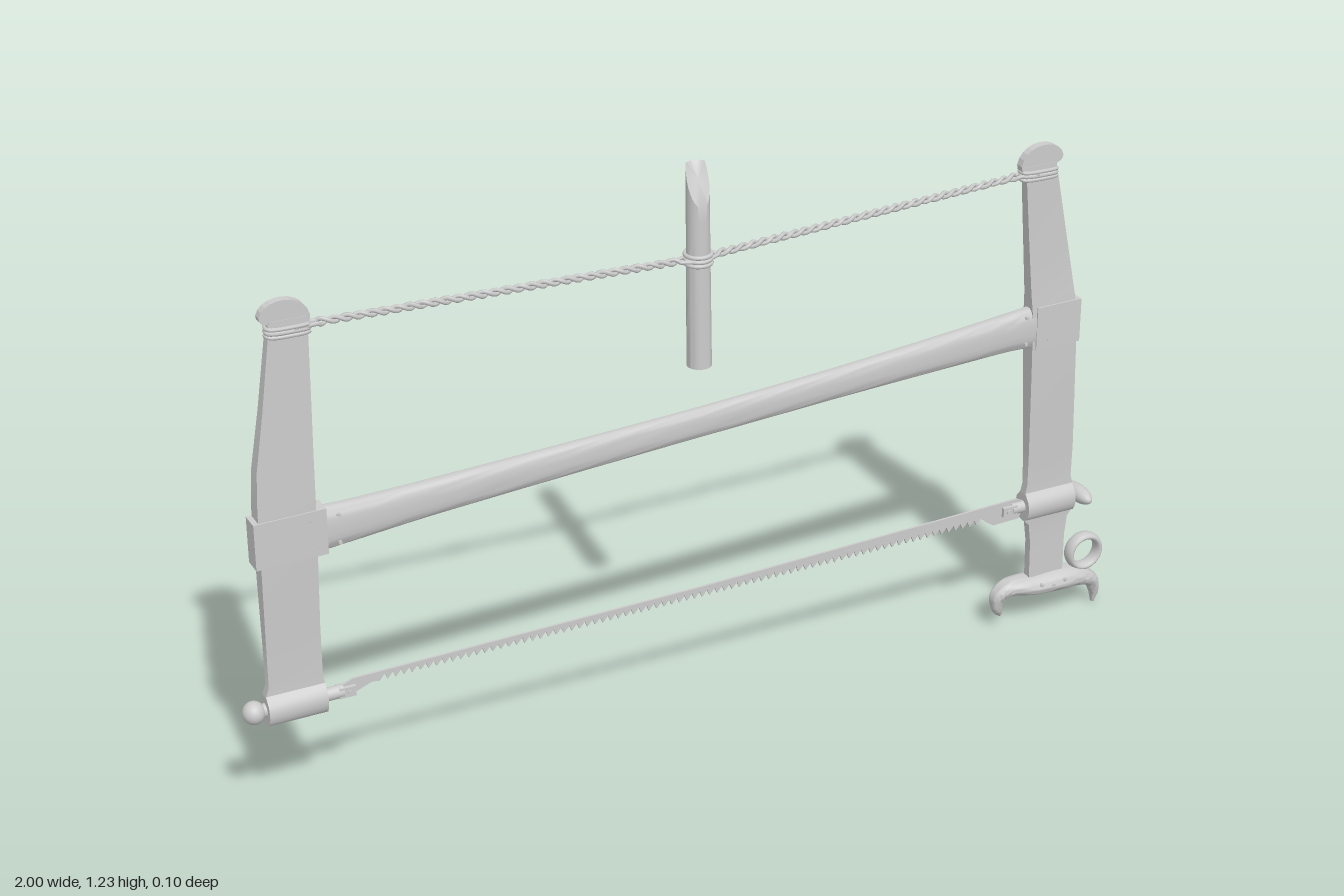
import * as THREE from 'three';
import { toCreasedNormals } from 'three/addons/utils/BufferGeometryUtils.js';

const material = new THREE.MeshStandardMaterial({ color: 0xcccccc, side: THREE.DoubleSide });

function part(name, geometry, x = 0, y = 0, z = 0) {
  const mesh = new THREE.Mesh(geometry, material);
  mesh.name = name;
  mesh.position.set(x, y, z);
  return mesh;
}

// Skins stations [x, y, halfHeight, halfDepth]; 'normal' fixes the section direction,
// otherwise it follows the path. 4 sides give a box, more give a superellipse of power p.
function loft(stations, sides, { normal = null, p = 2, crease = 0.6 } = {}) {
  const pos = [], index = [], n = stations.length;
  stations.forEach(([x, y, h, d], i) => {
    const a = stations[Math.max(i - 1, 0)], b = stations[Math.min(i + 1, n - 1)];
    const len = Math.hypot(b[0] - a[0], b[1] - a[1]);
    const [nx, ny] = normal || [-(b[1] - a[1]) / len, (b[0] - a[0]) / len];
    for (let k = 0; k < sides; k++) {
      const t = (k + 0.5) / sides * Math.PI * 2;
      const f = v => sides === 4 ? Math.sign(v) : Math.sign(v) * Math.abs(v) ** (2 / p);
      const u = f(Math.cos(t)) * h, w = f(Math.sin(t)) * d;
      pos.push(x + nx * u, y + ny * u, w);
    }
  });
  for (let i = 0; i < n - 1; i++) for (let k = 0; k < sides; k++) {
    const a = i * sides + k, b = i * sides + (k + 1) % sides;
    index.push(a, b, a + sides, b, b + sides, a + sides);
  }
  const last = (n - 1) * sides;
  for (let k = 1; k < sides - 1; k++) index.push(0, k + 1, k, last, last + k, last + k + 1);
  // Turn the faces outward when the signed volume is negative
  const v = i => new THREE.Vector3().fromArray(pos, i * 3);
  let volume = 0;
  for (let i = 0; i < index.length; i += 3) volume += v(index[i]).dot(v(index[i + 1]).cross(v(index[i + 2])));
  if (volume < 0) index.reverse();
  const g = new THREE.BufferGeometry();
  g.setAttribute('position', new THREE.Float32BufferAttribute(pos, 3));
  g.setIndex(index);
  return toCreasedNormals(g, crease);
}

// Smooths a few stations into many
function smooth(stations, count) {
  const path = new THREE.CatmullRomCurve3(stations.map(s => new THREE.Vector3(s[0], s[1], 0)));
  const size = new THREE.CatmullRomCurve3(stations.map(s => new THREE.Vector3(s[2], s[3], 0)));
  return Array.from({ length: count + 1 }, (_, i) => {
    const a = path.getPoint(i / count), b = size.getPoint(i / count);
    return [a.x, a.y, b.x, b.y];
  });
}

function tube(pointAt, steps, radius) {
  const pts = Array.from({ length: steps + 1 }, (_, i) => pointAt(i / steps));
  return new THREE.TubeGeometry(new THREE.CatmullRomCurve3(pts), steps * 2, radius, 6);
}

function slab(shape, depth) {
  return new THREE.ExtrudeGeometry(shape, { depth, bevelEnabled: false, curveSegments: 10 }).translate(0, 0, -depth / 2);
}

// Post from rows [y, left x, right x, half depth]
function post(name, rows) {
  return part(name, loft(rows.map(([y, l, r, d]) => [(l + r) / 2, y, (r - l) / 2, d]), 4, { normal: [1, 0] }));
}

// Swelling that houses the blade pin at height y
function barrel(y, l, r) {
  return [-0.032, -0.027, -0.018, -0.007, 0.006, 0.017, 0.026, 0.034]
    .map((dy, i) => [y + dy, l, r, [0.011, 0.019, 0.024, 0.027, 0.027, 0.023, 0.016, 0.01][i]]);
}

export function createModel() {
  const saw = new THREE.Group();
  saw.name = 'frameSaw';

  // Posts
  saw.add(post('rightPost', [
    ...barrel(0.257, -0.953, -0.831),
    [0.31, -0.946, -0.834, 0.0095], [0.42, -0.946, -0.834, 0.012], [0.6, -0.946, -0.831, 0.018],
    [0.7, -0.946, -0.829, 0.018], [0.78, -0.941, -0.827, 0.015], [0.9, -0.921, -0.824, 0.013], [1.08, -0.895, -0.82, 0.01]]));
  saw.add(post('leftPost', [
    [0.1, 0.806, 0.892, 0.01], [0.2, 0.804, 0.892, 0.0095], [0.245, 0.798, 0.896, 0.01],
    ...barrel(0.291, 0.785, 0.905),
    [0.345, 0.789, 0.9, 0.0095], [0.42, 0.787, 0.899, 0.012], [0.66, 0.778, 0.888, 0.018],
    [0.76, 0.774, 0.882, 0.018], [0.8, 0.771, 0.876, 0.014], [0.92, 0.76, 0.852, 0.012], [1.09, 0.745, 0.818, 0.01]]));

  // Rounded post heads, overhanging outward
  const head = new THREE.Shape();
  head.moveTo(-0.033, 1.05);
  head.lineTo(-0.033, 1.075);
  head.quadraticCurveTo(-0.05, 1.078, -0.049, 1.092);
  head.bezierCurveTo(-0.04, 1.13, 0.042, 1.132, 0.051, 1.08);
  head.lineTo(0.045, 1.05);
  const rightHead = part('rightPostHead', slab(head, 0.018), -0.865);
  const leftHead = part('leftPostHead', slab(head, 0.018), 0.785, 0.013);
  leftHead.rotation.y = Math.PI;
  saw.add(rightHead, leftHead);

  // Stretcher with a boxed socket round each post
  saw.add(part('stretcher', loft(smooth([
    [-0.83, 0.628, 0.048, 0.02], [-0.77, 0.63, 0.044, 0.02], [-0.6, 0.64, 0.038, 0.019], [-0.3, 0.656, 0.034, 0.017],
    [0, 0.672, 0.032, 0.016], [0.3, 0.69, 0.033, 0.017], [0.6, 0.71, 0.039, 0.019], [0.73, 0.719, 0.043, 0.02],
    [0.79, 0.721, 0.048, 0.02]], 32), 24, { normal: [0, 1], p: 2.7 })));
  const sockets = [[-0.957, -0.81, 0.627, 0.629], [0.785, 0.893, 0.721, 0.722]];
  for (const [l, r, yl, yr] of sockets) {
    saw.add(part('stretcherSocket', loft([[l, yl, 0.049, 0.021], [r, yr, 0.049, 0.021]], 4, { normal: [0, 1] })));
  }
  for (const [x, y] of [[-0.815, 0.628], [0.79, 0.722]]) for (const dy of [-0.03, 0.03]) for (const dx of [-0.06, 0.005]) {
    const peg = new THREE.CylinderGeometry(0.004, 0.004, 0.044, 10).rotateX(Math.PI / 2);
    saw.add(part('socketPeg', peg, x - Math.sign(x) * (Math.abs(dx) - 0.03), y + dy));
  }

  // Toothed blade
  const blade = new THREE.Shape();
  blade.moveTo(-0.8, 0.268);
  blade.lineTo(-0.77, 0.28);
  blade.lineTo(0, 0.29);
  blade.lineTo(0.77, 0.313);
  blade.lineTo(0.79, 0.3);
  blade.lineTo(0.775, 0.264);
  blade.lineTo(0.71, 0.262);
  blade.lineTo(0.69, 0.276);
  const teeth = 80;
  for (let i = 0; i < teeth; i++) {
    const x = 0.68 - 1.4 * i / teeth, y = 0.272 + 0.009 * x;
    blade.lineTo(x, y + 0.008);
    blade.lineTo(x - 0.012, y - 0.006);
  }
  blade.lineTo(-0.73, 0.262);
  blade.lineTo(-0.775, 0.245);
  saw.add(part('blade', slab(blade, 0.005)));

  // Blade pins, each with a split end and a cross rivet
  for (const [x, y, s] of [[-0.807, 0.257, 1], [0.77, 0.291, -1]]) {
    const pin = new THREE.Group();
    pin.name = 'bladePin';
    pin.position.set(x, y, 0);
    pin.add(part('pinShank', new THREE.CylinderGeometry(0.014, 0.014, 0.05, 16).rotateZ(Math.PI / 2), -s * 0.01));
    for (const z of [-0.008, 0.008]) pin.add(part('pinFork', new THREE.BoxGeometry(0.035, 0.022, 0.008), s * 0.022, 0, z));
    pin.add(part('pinRivet', new THREE.CylinderGeometry(0.005, 0.005, 0.03, 10).rotateX(Math.PI / 2), s * 0.026));
    saw.add(pin);
  }

  // Round knob on one side, wing knob on the other
  const shaft = () => new THREE.CylinderGeometry(0.014, 0.014, 0.03, 16).rotateZ(Math.PI / 2);
  saw.add(part('knobNeck', shaft(), -0.957, 0.257), part('wingNeck', shaft(), 0.908, 0.291));
  saw.add(part('roundKnob', new THREE.SphereGeometry(0.024, 24, 16).scale(0.95, 1, 1), -0.977, 0.257));
  saw.add(part('wingKnob', new THREE.SphereGeometry(1, 28, 18).scale(0.02, 0.019, 0.051), 0.927, 0.291));

  // Pistol handle: horn, grip and downward hook
  saw.add(part('handle', loft(smooth([
    [0.741, 0.03, 0.004, 0.004], [0.733, 0.046, 0.012, 0.011], [0.731, 0.078, 0.016, 0.018], [0.755, 0.094, 0.019, 0.025],
    [0.82, 0.09, 0.023, 0.037], [0.88, 0.089, 0.026, 0.038], [0.935, 0.083, 0.023, 0.03], [0.973, 0.064, 0.017, 0.021],
    [0.985, 0.035, 0.012, 0.014], [0.984, 0.004, 0.004, 0.005]], 48), 24, { crease: 1 })));
  saw.add(part('handleRing', new THREE.TorusGeometry(0.037, 0.008, 14, 36).scale(1, 1, 2), 0.952, 0.14));
  for (const [x, y] of [[0.825, 0.1], [0.855, 0.094], [0.885, 0.1]]) {
    saw.add(part('handlePeg', new THREE.CylinderGeometry(0.004, 0.004, 0.076, 10).rotateX(Math.PI / 2), x, y));
  }

  // Twisted cord: two strands per side, opening round the stick
  const centre = new THREE.Vector3(-0.005, 1.032, 0);
  const spans = [[-0.85, 1.06, 15], [0.775, 1.073, 15]];
  for (const [x, y, twists] of spans) for (const phase of [0, Math.PI]) {
    saw.add(part('cordStrand', tube(t => {
      const p = centre.clone().lerp(new THREE.Vector3(x, y, 0), t);
      const atStick = Math.max(0, 1 - t / 0.07), atPost = Math.max(0, (t - 0.92) / 0.08);
      const spread = 0.0045 + 0.023 * atStick ** 1.5 + 0.009 * atPost;
      const a = phase + twists * 2 * Math.PI * Math.min(Math.max((t - 0.05) / 0.89, 0), 1);
      return p.add(new THREE.Vector3(0, Math.sin(a) * spread, Math.cos(a) * spread));
    }, 180, 0.0045)));
  }

  // Cord lashings round the post tops
  for (const [x, y] of [[-0.858, 1.058], [0.78, 1.071]]) {
    saw.add(part('cordLashing', tube(t => {
      const a = t * Math.PI * 6, f = v => Math.sign(v) * Math.abs(v) ** 0.6;
      return new THREE.Vector3(x + f(Math.cos(a)) * 0.042, y + (t - 0.5) * 0.024, f(Math.sin(a)) * 0.0135);
    }, 90, 0.0045)));
  }

  // Tensioning stick with a slanted cut on its front
  const stick = new THREE.CylinderGeometry(0.0235, 0.0255, 0.43, 28, 12);
  const sp = stick.attributes.position;
  for (let i = 0; i < sp.count; i++) {
    const y = sp.getY(i) + 1.015, z = sp.getZ(i);
    const limit = 1.23 - 0.085 * Math.max(0, (z + 0.01) / 0.0335) ** 0.85;
    sp.setXYZ(i, sp.getX(i) - 0.006 + (1.23 - y) * 0.008, 0.8 + (y - 0.8) * (limit - 0.8) / 0.43, z);
  }
  saw.add(part('tensionStick', toCreasedNormals(stick, 0.6)));
  for (const dy of [-0.008, 0.001, 0.01]) {
    saw.add(part('stickCordLoop', new THREE.TorusGeometry(0.0265, 0.0045, 8, 32).rotateX(Math.PI / 2), -0.005, 1.032 + dy));
  }
  return saw;
}
